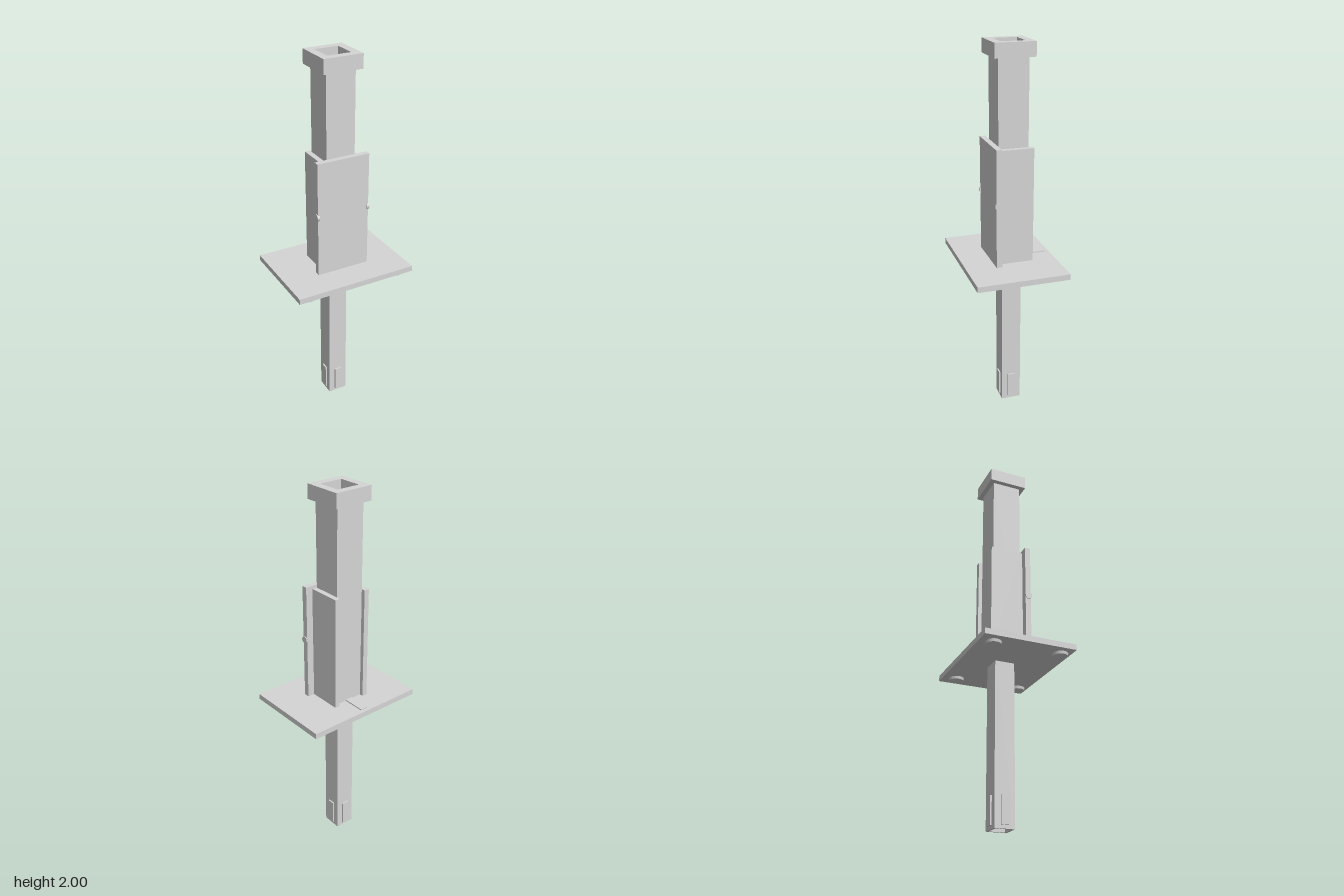
import * as THREE from 'three';

const CZ = -0.022; // post axis in z
const DECK = 0.872; // top of the base plate

export function createModel() {
  const model = new THREE.Group();
  const steel = new THREE.MeshStandardMaterial({ color: 0xd5d5d5 });
  steel.name = 'light grey steel';

  const add = (name, geometry) => {
    const mesh = new THREE.Mesh(geometry, steel);
    mesh.name = name;
    model.add(mesh);
    return mesh;
  };

  // Box given by its limits on each axis
  const box = (name, x0, x1, y0, y1, z0, z1) => {
    const mesh = add(name, new THREE.BoxGeometry(x1 - x0, y1 - y0, z1 - z0));
    mesh.position.set((x0 + x1) / 2, (y0 + y1) / 2, (z0 + z1) / 2);
    return mesh;
  };

  // Rectangle outline, centred on x = 0 and y = cy
  const rect = (path, hx, hy, cy = 0) =>
    path.moveTo(-hx, cy - hy).lineTo(hx, cy - hy).lineTo(hx, cy + hy).lineTo(-hx, cy + hy).closePath();

  // Extrude an outline with one hole upwards from y0 to y1
  const raise = (name, shape, hole, y0, y1) => {
    shape.holes.push(hole);
    const geometry = new THREE.ExtrudeGeometry(shape, { depth: y1 - y0, bevelEnabled: false });
    geometry.rotateX(-Math.PI / 2);
    add(name, geometry).position.y = y0;
  };

  // Upright square tube on the post axis
  const tube = (name, outer, inner, y0, y1) =>
    raise(name, rect(new THREE.Shape(), outer, outer, -CZ), rect(new THREE.Path(), inner, inner, -CZ), y0, y1);

  // Post: nested tubes and top collar
  tube('lowerTube', 0.053, 0.042, 0, DECK);
  tube('upperTube', 0.079, 0.063, DECK, 1.927);
  tube('topCollar', 0.105, 0.063, 1.927, 2);
  tube('innerStep', 0.042, 0.028, 0.8, 0.855);
  box('innerFloor', -0.042, 0.042, 0.79, 0.8, CZ - 0.042, CZ + 0.042);

  // Base plate with an opening for the post
  raise('basePlate', rect(new THREE.Shape(), 0.333, 0.245), rect(new THREE.Path(), 0.053, 0.053, -CZ), 0.842, DECK);

  // Front panel and rear tongue
  box('frontPanel', -0.145, 0.145, DECK, 1.497, 0.058, 0.088);
  box('rearTongue', -0.021, 0.021, DECK, 0.878, -0.225, CZ - 0.079);

  for (const side of [-1, 1]) {
    // Side panels beside the tube
    const panel = box('sidePanel', -0.014, 0.014, DECK, 1.481, -0.122, 0.058);
    panel.position.x = side * 0.093;

    // Round studs on the panel edges
    const stud = add('panelStud', new THREE.CylinderGeometry(0.019, 0.019, 0.013, 24));
    stud.rotation.z = Math.PI / 2;
    stud.position.set(side * 0.143, 1.204, 0.076);

    // Feet below the plate
    for (const z of [-0.171, 0.191]) {
      const foot = add('plateFoot', new THREE.CylinderGeometry(0.04, 0.038, 0.015, 24));
      foot.position.set(side * 0.26, 0.8345, z);
    }
  }

  // Raised pads on the four faces near the lower end
  for (let i = 0; i < 4; i++) {
    const pad = add('lowerPad', new THREE.BoxGeometry(0.04, 0.14, 0.01));
    const a = i * Math.PI / 2;
    pad.rotation.y = a;
    pad.position.set(Math.sin(a) * 0.056, 0.088, CZ + Math.cos(a) * 0.056);
  }
  return model;
}
